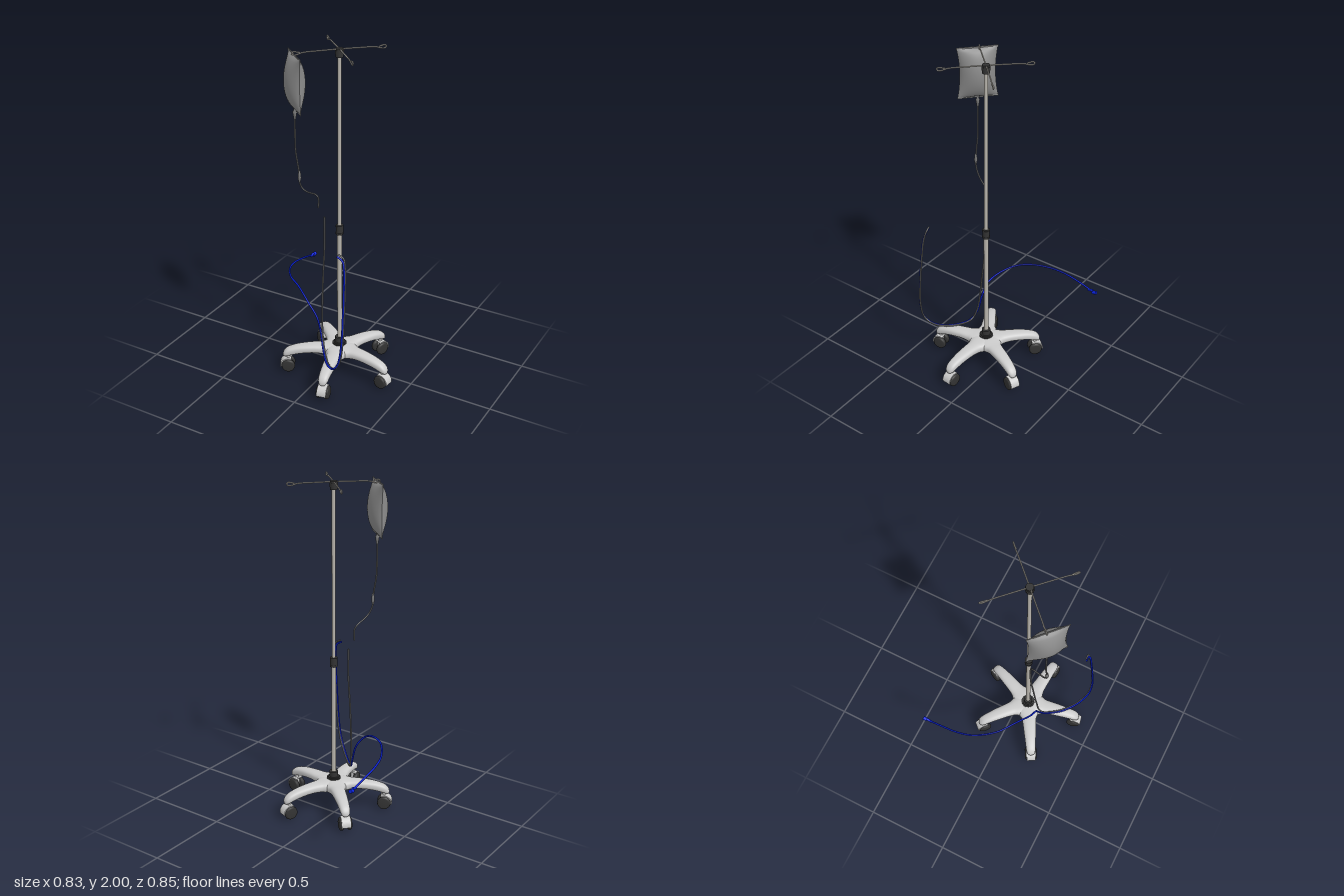
import * as THREE from 'three';

const mat = (color, side = THREE.FrontSide) => new THREE.MeshStandardMaterial({ color, side });
const V = (p) => new THREE.Vector3(...p);

function add(parent, name, geometry, material, pos = [0, 0, 0], rot = [0, 0, 0]) {
  const m = new THREE.Mesh(geometry, material);
  m.name = name;
  m.position.set(...pos);
  m.rotation.set(...rot);
  parent.add(m);
  return m;
}

const lathe = (pts, seg = 28) => new THREE.LatheGeometry(pts.map((p) => new THREE.Vector2(...p)), seg);

function hose(points, radius, seg = 120) {
  return new THREE.TubeGeometry(new THREE.CatmullRomCurve3(points.map(V)), seg, radius, 10);
}

// One arm of the star base: stations are [distance, half width, top, bottom]
function legGeometry() {
  const stations = [
    [0, 0.075, 0.188, 0.118], [0.05, 0.07, 0.188, 0.118], [0.08, 0.06, 0.186, 0.12],
    [0.105, 0.047, 0.185, 0.124], [0.15, 0.041, 0.184, 0.128], [0.2, 0.038, 0.18, 0.126],
    [0.25, 0.034, 0.173, 0.118], [0.29, 0.031, 0.162, 0.108], [0.315, 0.028, 0.15, 0.1],
    [0.33, 0.022, 0.135, 0.097], [0.337, 0.012, 0.122, 0.1], [0.339, 0.001, 0.111, 0.109],
  ];
  const width = new THREE.CatmullRomCurve3(stations.map((s) => V([s[0], s[1], 0])), false, 'catmullrom');
  const height = new THREE.CatmullRomCurve3(stations.map((s) => V([s[0], s[2], s[3]])), false, 'catmullrom');
  const N = 44, M = 28, pos = [], idx = [];
  for (let i = 0; i <= N; i++) {
    const a = width.getPoint(i / N), b = height.getPoint(i / N);
    for (let j = 0; j < M; j++) {
      const t = (j / M) * Math.PI * 2, c = Math.cos(t), s = Math.sin(t);
      const round = (v) => Math.sign(v) * Math.abs(v) ** 0.8;
      pos.push(a.x, (b.y + b.z) / 2 + ((b.y - b.z) / 2) * round(s), a.y * round(c));
      if (i < N) {
        const k = (j + 1) % M, p = i * M, q = p + M;
        idx.push(p + j, q + j, p + k, q + j, q + k, p + k);
      }
    }
  }
  const g = new THREE.BufferGeometry();
  g.setAttribute('position', new THREE.Float32BufferAttribute(pos, 3));
  g.setIndex(idx);
  g.computeVertexNormals();
  return g;
}

// Curved guard over the outer side of a twin wheel
function hoodGeometry(width) {
  const s = new THREE.Shape();
  s.absarc(0, 0, 0.048, -0.15, 2.0, false);
  s.absarc(0, 0, 0.042, 2.0, -0.15, true);
  return new THREE.ExtrudeGeometry(s, { depth: width, bevelEnabled: false, curveSegments: 16 })
    .translate(0, 0, -width / 2);
}

// One face of the pillow-shaped bag, pinched along its edges
function bagFace() {
  const g = new THREE.PlaneGeometry(2, 2, 28, 28), p = g.attributes.position;
  for (let i = 0; i < p.count; i++) {
    const u = p.getX(i), v = p.getY(i), fu = Math.max(0, 1 - u * u), fv = Math.max(0, 1 - v * v);
    p.setXYZ(i, u * 0.115 * (1 - 0.13 * fv), v * 0.15 * (1 - 0.03 * fu), 0.056 * fu ** 0.8 * fv ** 0.65);
  }
  g.computeVertexNormals();
  return g;
}

export function createModel() {
  const root = new THREE.Group();
  root.name = 'dripStand';
  const grey = mat(0xcccccc), dark = mat(0x333333), metal = mat(0xb8b4ac);
  const bagMat = mat(0x8c8c8c, THREE.DoubleSide);
  const clear = mat(0x777777, THREE.DoubleSide), blue = mat(0x0a22d8, THREE.DoubleSide);

  // Five-armed base on twin-wheel casters
  const base = new THREE.Group();
  base.name = 'base';
  base.position.set(0.056, 0, 0.073);
  root.add(base);
  add(base, 'hub', lathe([[0, 0.112], [0.07, 0.118], [0.088, 0.135], [0.09, 0.15], [0.082, 0.17], [0.06, 0.184], [0, 0.19]], 40), grey);
  const leg = legGeometry(), hood = hoodGeometry(0.056);
  const wheel = lathe([[0, -0.013], [0.03, -0.013], [0.038, -0.009], [0.041, 0], [0.038, 0.009], [0.03, 0.013], [0, 0.013]]);
  for (let i = 0; i < 5; i++) {
    const arm = new THREE.Group();
    arm.name = 'baseArm';
    arm.rotation.y = -(6 + 72 * i) * Math.PI / 180;
    base.add(arm);
    add(arm, 'leg', leg, grey);
    const caster = new THREE.Group();
    caster.name = 'caster';
    caster.position.set(0.308, 0.042, 0);
    arm.add(caster);
    for (const s of [-1, 1]) add(caster, 'wheel', wheel, dark, [0, 0, s * 0.024], [Math.PI / 2, 0, 0]);
    add(caster, 'axle', new THREE.CylinderGeometry(0.01, 0.01, 0.05, 12), dark, [0, 0, 0], [Math.PI / 2, 0, 0]);
    add(caster, 'casterFork', new THREE.BoxGeometry(0.024, 0.05, 0.018), grey, [0, 0.022, 0]);
    add(caster, 'casterHood', hood, grey);
    add(caster, 'casterStem', new THREE.CylinderGeometry(0.012, 0.012, 0.05, 16), grey, [0, 0.06, 0]);
  }

  // Slightly leaning pole with its collars
  const pole = new THREE.Group();
  pole.name = 'pole';
  pole.position.set(0.056, 0, 0.074);
  pole.rotation.set(-0.006, 0, 0.0045);
  root.add(pole);
  const tube = (name, r, y0, y1, m) =>
    add(pole, name, new THREE.CylinderGeometry(r, r, y1 - y0, 24), m, [0, (y0 + y1) / 2, 0]);
  tube('lowerPole', 0.0135, 0.18, 0.94, metal);
  tube('upperPole', 0.011, 0.94, 1.97, metal);
  tube('heightCollar', 0.021, 0.91, 0.968, dark);
  for (const y of [0.918, 0.96]) tube('collarRing', 0.0225, y - 0.004, y + 0.004, dark);
  for (const [r, y0, y1] of [[0.042, 0.18, 0.193], [0.034, 0.19, 0.2], [0.026, 0.2, 0.233]]) tube('poleSocket', r, y0, y1, dark);
  tube('poleCap', 0.021, 1.95, 1.998, dark);
  tube('poleCapRing', 0.023, 1.966, 1.988, dark);

  // Four wire arms, each ending in a curled hook
  const hook = hose([[0, 0, 0], [0.1, -0.001, 0], [0.2, -0.004, 0], [0.232, -0.013, 0], [0.25, -0.013, 0],
    [0.258, -0.004, 0], [0.25, 0.004, 0], [0.23, 0.001, 0], [0.215, -0.003, 0.002]], 0.0038, 60);
  for (let i = 0; i < 4; i++) {
    add(pole, 'hookArm', hook, metal, [0, 1.993, 0], [0, Math.PI / 4 + (i * Math.PI) / 2, 0]);
  }

  // Fluid bag
  const bag = new THREE.Group();
  bag.name = 'fluidBag';
  bag.position.set(-0.121, 1.838, 0.245);
  bag.rotation.y = -0.74;
  root.add(bag);
  for (const r of [0, Math.PI]) add(bag, 'bagFace', bagFace(), bagMat, [0, 0, 0], [0, r, 0]);
  for (const s of [-1, 1]) add(bag, 'bagSeal', new THREE.BoxGeometry(0.23, 0.01, 0.004), bagMat, [0, s * 0.147, 0]);

  // Drip line with its chamber and valve
  add(root, 'dripChamber', lathe([[0, -0.03], [0.006, -0.028], [0.01, 0], [0.012, 0.012], [0.007, 0.02], [0.006, 0.04], [0, 0.04]], 16),
    clear, [-0.121, 1.66, 0.247]);
  add(root, 'dripValve', lathe([[0, -0.035], [0.005, -0.034], [0.01, -0.01], [0.008, 0.012], [0.005, 0.03], [0, 0.03]], 16),
    clear, [-0.097, 1.305, 0.248]);
  add(root, 'dripTube', hose([[-0.121, 1.65, 0.247], [-0.121, 1.55, 0.248], [-0.119, 1.45, 0.248], [-0.108, 1.38, 0.248],
    [-0.098, 1.32, 0.248], [-0.096, 1.265, 0.247], [-0.088, 1.225, 0.23], [-0.075, 1.195, 0.2], [-0.057, 1.165, 0.15],
    [-0.05, 1.14, 0.131], [-0.05, 1.075, 0.129]], 0.0045), clear);

  // Long grey loop of tubing
  const loop = [[0.03, 0.22, 0.21], [0.1, 0.185, 0.29], [0.18, 0.21, 0.36], [0.24, 0.29, 0.4], [0.265, 0.42, 0.408],
    [0.268, 0.6, 0.395], [0.265, 0.75, 0.38], [0.257, 0.88, 0.366], [0.242, 0.935, 0.357], [0.21, 0.955, 0.36]];
  add(root, 'greyTube', hose([[-0.02, 1.02, 0.115], [-0.018, 0.85, 0.118], [-0.016, 0.65, 0.14], [-0.01, 0.45, 0.161],
    [0.002, 0.3, 0.18], ...loop], 0.005, 180), clear);

  // Blue hose running beside the grey loop, then out to its connector
  const beside = loop.map(([x, y, z]) => [x - 0.005, y - (y > 0.9 ? 0.012 : 0), z + 0.006]);
  add(root, 'blueHose', hose([[-0.405, 0.442, -0.4], [-0.408, 0.468, -0.3], [-0.405, 0.492, -0.18], [-0.38, 0.507, -0.08],
    [-0.3, 0.523, 0.04], [-0.2, 0.515, 0.11], [-0.1, 0.46, 0.165], [-0.04, 0.385, 0.172], [-0.008, 0.29, 0.182],
    ...beside], 0.0055, 200), blue);
  for (const [r, len, z, y] of [[0.011, 0.026, -0.407, 0.441], [0.0075, 0.034, -0.38, 0.448]]) {
    add(root, 'hoseConnector', new THREE.CylinderGeometry(r, r, len, 20), blue, [-0.405, y, z], [Math.PI / 2 + 0.24, 0, 0]);
  }
  return root;
}
